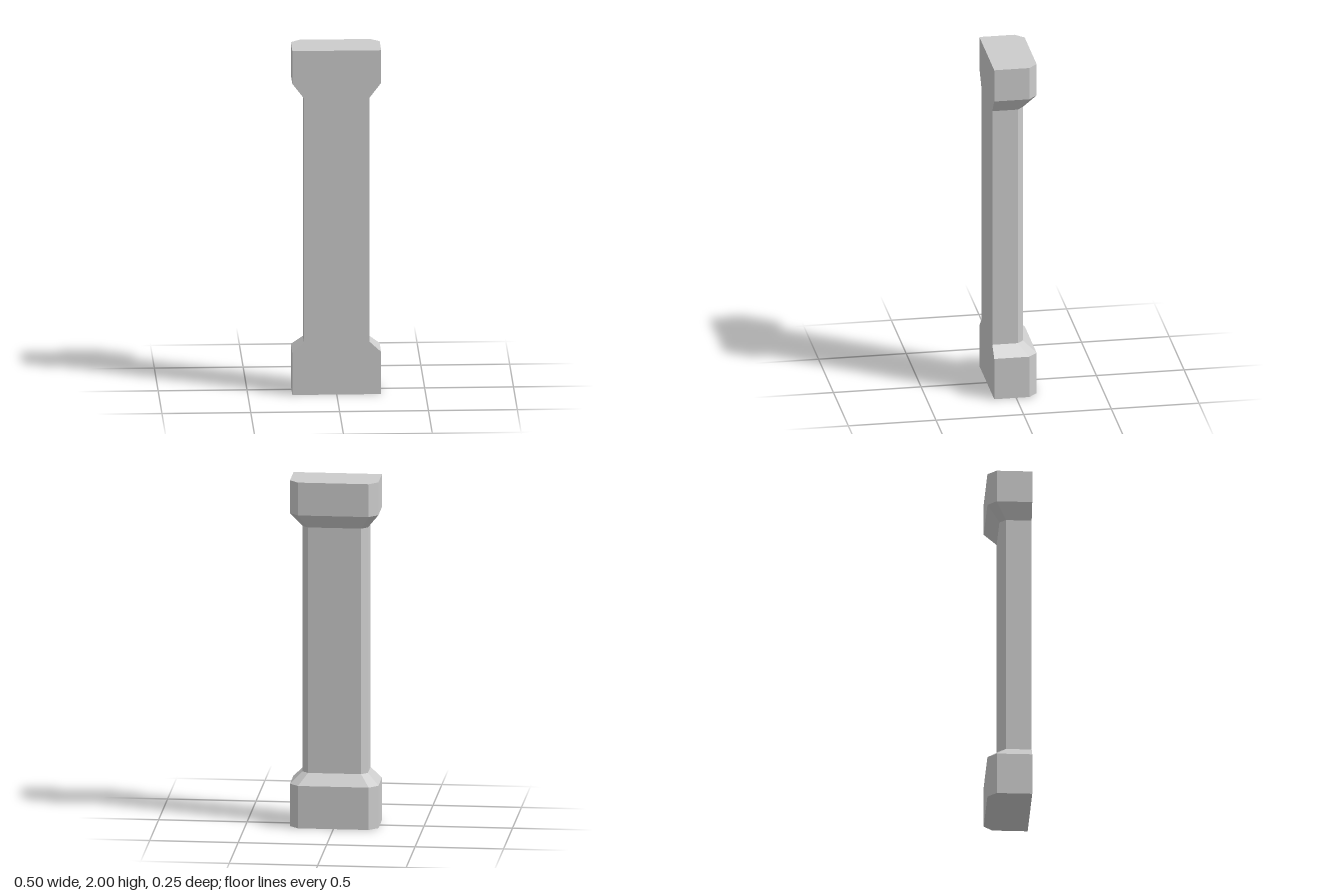
import * as THREE from 'three';

const FRONT = 0.125;

// Outline with a flat front and two chamfered back corners, at height y
function ring({ w, back, c }, y) {
  return [
    [-w, FRONT], [w, FRONT], [w, back + c],
    [w - c, back], [-w + c, back], [-w, back + c],
  ].map(([x, z]) => [x, y, z]);
}

// Skin a stack of outlines, closing the bottom or top where asked
function loft(name, rings, material, { bottom = false, top = false } = {}) {
  const pos = [];
  const n = rings[0].length;
  const tri = (a, b, c) => pos.push(...a, ...b, ...c);
  for (let k = 0; k < rings.length - 1; k++) {
    const lo = rings[k], hi = rings[k + 1];
    for (let i = 0; i < n; i++) {
      const j = (i + 1) % n;
      tri(lo[i], lo[j], hi[j]);
      tri(lo[i], hi[j], hi[i]);
    }
  }
  const first = rings[0], last = rings[rings.length - 1];
  for (let i = 1; i < n - 1; i++) {
    if (bottom) tri(first[0], first[i + 1], first[i]);
    if (top) tri(last[0], last[i], last[i + 1]);
  }
  const geometry = new THREE.BufferGeometry();
  geometry.setAttribute('position', new THREE.Float32BufferAttribute(pos, 3));
  geometry.computeVertexNormals();
  const mesh = new THREE.Mesh(geometry, material);
  mesh.name = name;
  return mesh;
}

export function createModel() {
  const group = new THREE.Group();
  group.name = 'halfPillar';
  const material = new THREE.MeshStandardMaterial({ color: 0xcccccc, flatShading: true });

  const wide = { w: 0.25, back: -0.125, c: 0.05 };
  const slim = { w: 0.185, back: -0.055, c: 0.035 };

  group.add(
    // Base block sloping in to the shaft
    loft('base', [ring(wide, 0), ring(wide, 0.245), ring(slim, 0.305)], material, { bottom: true }),
    // Straight shaft
    loft('shaft', [ring(slim, 0.305), ring(slim, 1.725)], material),
    // Capital flaring out to the top block
    loft('capital', [ring(slim, 1.725), ring(wide, 1.81), ring(wide, 2)], material, { top: true }),
  );
  return group;
}
